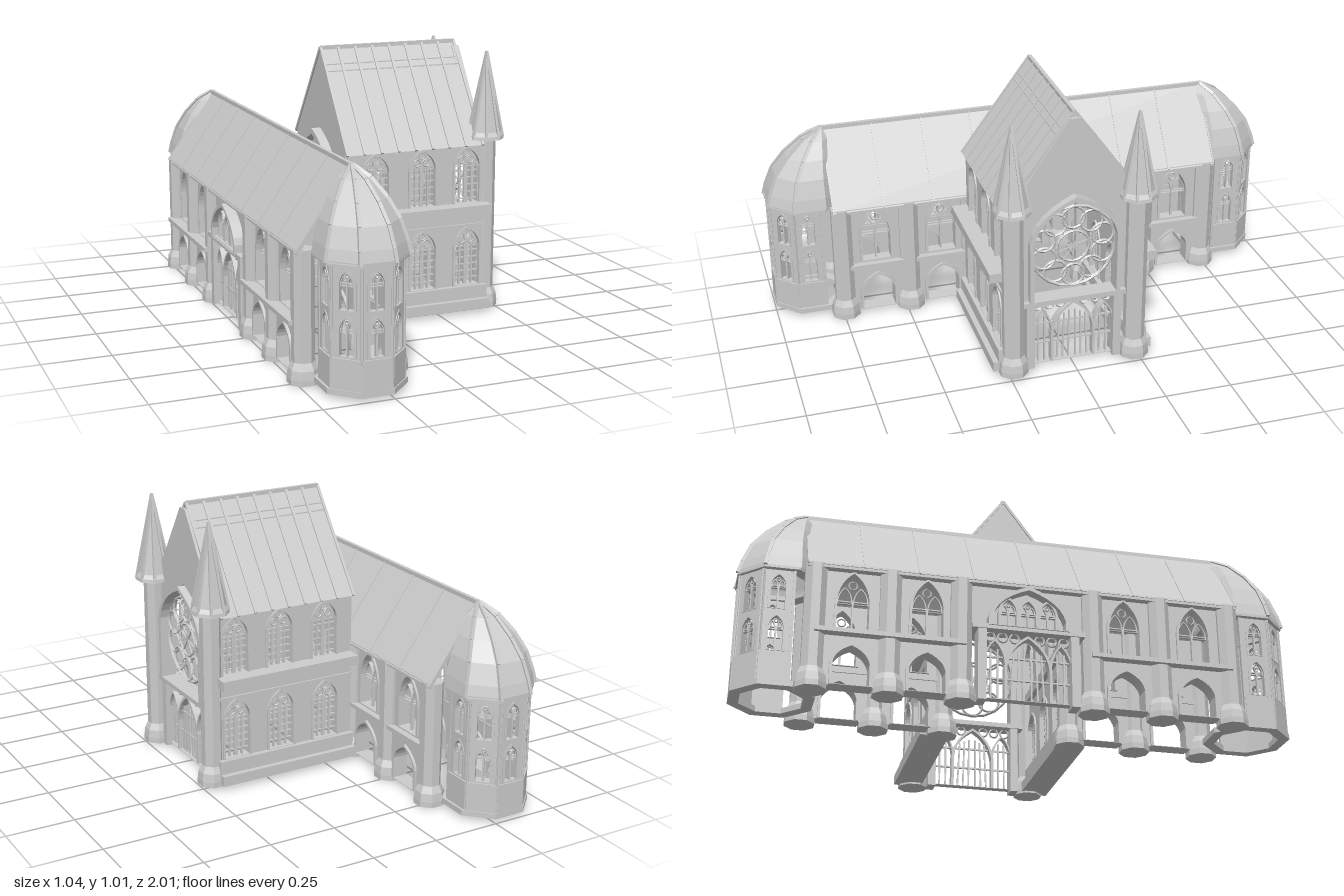
import * as THREE from 'three';

const stone = new THREE.MeshStandardMaterial({ color: 0xcccccc, flatShading: true, side: THREE.DoubleSide });
const V = (x, y, z) => new THREE.Vector3(x, y, z);

function add(parent, name, geo, x = 0, y = 0, z = 0) {
  const m = new THREE.Mesh(geo, stone);
  m.name = name;
  m.position.set(x, y, z);
  parent.add(m);
  return m;
}
function group(parent, name, x = 0, y = 0, z = 0, ry = 0) {
  const g = new THREE.Group();
  g.name = name;
  g.position.set(x, y, z);
  g.rotation.y = ry;
  parent.add(g);
  return g;
}
// box given by its limits
function box(parent, name, x0, x1, y0, y1, z0, z1) {
  return add(parent, name, new THREE.BoxGeometry(x1 - x0, y1 - y0, z1 - z0), (x0 + x1) / 2, (y0 + y1) / 2, (z0 + z1) / 2);
}
// square bar between two points
function bar(parent, name, a, b, t) {
  const d = b.clone().sub(a);
  const m = add(parent, name, new THREE.BoxGeometry(t, d.length(), t));
  m.position.copy(a).add(b).multiplyScalar(0.5);
  m.quaternion.setFromUnitVectors(V(0, 1, 0), d.normalize());
}
// pointed arch outline, from left foot over the apex to right foot
function arch(cx, y0, w, ys, yt) {
  const h = w / 2, k = ys + (yt - ys) * 0.65, pts = [[cx - h, y0]];
  for (let i = 0; i <= 12; i++) {
    const s = i <= 6 ? -1 : 1, t = i <= 6 ? i / 6 : (12 - i) / 6;
    const u = 1 - t;
    pts.push([cx + s * h * (u * u + 2 * u * t * 0.88), u * u * ys + 2 * u * t * k + t * t * yt]);
  }
  pts.push([cx + h, y0]);
  return pts;
}
const vec = pts => pts.map(p => new THREE.Vector2(p[0], p[1]));
// upright slab with holes, centred on its own z
function slab(parent, name, outline, holes, depth, z = 0) {
  const s = new THREE.Shape(vec(outline));
  holes.forEach(h => s.holes.push(new THREE.Path(vec(h))));
  const g = new THREE.ExtrudeGeometry(s, { depth, bevelEnabled: false });
  g.translate(0, 0, -depth / 2);
  add(parent, name, g, 0, 0, z);
}
const rect = (x0, x1, y0, y1) => [[x0, y0], [x1, y0], [x1, y1], [x0, y1]];
function archFrame(parent, cx, y0, w, ys, yt, t, depth, z = 0) {
  slab(parent, 'archFrame', arch(cx, y0, w + 2 * t, ys, yt + t), [arch(cx, y0 + 0.002, w, ys, yt)], depth, z);
}
function ring(parent, x, y, r, t, z = 0) {
  add(parent, 'traceryRing', new THREE.TorusGeometry(r, t, 4, 20), x, y, z);
}
// traceried window: frame, mullions, transoms, pointed lights, head circle
function windowAt(parent, cx, y0, w, ys, yt, lights, rows, z) {
  const g = group(parent, 'window', cx, 0, z);
  archFrame(g, 0, y0, w, ys, yt, 0.009, w * 0.42);
  const lw = w / lights;
  for (let i = 1; i < lights; i++) {
    const t = lights > 2 && i === lights / 2 ? 0.007 : 0.003;
    box(g, 'mullion', -w / 2 + i * lw - t, -w / 2 + i * lw + t, y0, ys, -0.006, 0.006);
  }
  for (let i = 1; i <= rows; i++) {
    const y = y0 + (ys - y0) * i / rows;
    box(g, 'transom', -w / 2, w / 2, y - 0.002, y + 0.002, -0.004, 0.004);
  }
  for (const s of [-1, 1]) archFrame(g, s * w / 4, ys - 0.01, w / 2 - 0.01, ys, ys + (yt - ys) * 0.5, 0.004, 0.01);
  if (lights === 2) ring(g, 0, ys + (yt - ys) * 0.62, w * 0.13, 0.003);
  return g;
}
// wide window with a closed head carrying a trefoil
function wingWindow(parent, x, y0, z) {
  const ys = y0 + 0.16, yt = y0 + 0.223;
  const g = windowAt(parent, x, y0, 0.1, ys, yt, 4, 6, z);
  slab(g, 'windowHead', arch(0, ys, 0.1, ys + 0.001, yt), [], 0.008);
  for (const [cx, cy] of [[-0.018, 0.017], [0.018, 0.017], [0, 0.043]]) ring(g, cx, ys + cy, 0.013, 0.006);
}
// eight-sided pier with flared foot
function pier(parent, name, x, z, y0, y1) {
  const p = [[0, y0], [0.056, y0], [0.056, y0 + 0.02], [0.052, y0 + 0.05], [0.04, y0 + 0.075], [0.04, y1], [0, y1]];
  add(parent, name, new THREE.LatheGeometry(vec(p), 8), x, 0, z).rotation.y = Math.PI / 8;
}
// gabled roof shell running along z, with ribs on the slopes
function roof(parent, name, half, y0, y1, z0, z1, ribs, t, ribSize) {
  const shape = new THREE.Shape(vec([[-half, y0], [-half + t, y0], [0, y1 - t * 1.4], [half - t, y0], [half, y0], [0, y1]]));
  const g = new THREE.ExtrudeGeometry(shape, { depth: z1 - z0, bevelEnabled: false });
  add(parent, name, g, 0, 0, z0);
  for (let i = 0; i <= ribs; i++) {
    const z = z0 + (z1 - z0) * i / ribs;
    for (const s of [-1, 1]) bar(parent, 'roofRib', V(s * half, y0, z), V(0, y1, z), ribSize);
  }
  box(parent, 'ridge', -0.007, 0.007, y1 - 0.01, y1 + 0.005, z0, z1);
}
// open portal screen of lancets and a traceried gallery
function portal(parent, z) {
  const g = group(parent, 'portal', 0, 0, z);
  archFrame(g, 0, 0.02, 0.15, 0.14, 0.255, 0.01, 0.03);
  for (const s of [-1, 1]) {
    archFrame(g, s * 0.118, 0.02, 0.07, 0.15, 0.235, 0.007, 0.03);
    box(g, 'portalPost', s * 0.165 - 0.015, s * 0.165 + 0.015, 0.01, 0.28, -0.03, 0.03);
    for (const x of [0.014, 0.036, 0.058]) bar(g, 'portalBar', V(s * x, 0.02, 0), V(s * x * 0.85, 0.225 - x * 0.4, 0), 0.006);
    for (const x of [0.106, 0.13]) box(g, 'portalBar', s * x - 0.003, s * x + 0.003, 0.02, 0.21, -0.004, 0.004);
    for (let i = 0; i < 3; i++) ring(g, s * (0.045 + i * 0.043), 0.255, 0.016, 0.004);
  }
  for (const y of [0.1, 0.18]) box(g, 'portalRail', -0.15, 0.15, y - 0.003, y + 0.003, -0.004, 0.004);
  box(g, 'portalBeam', -0.2, 0.2, 0.272, 0.29, -0.035, 0.035);
}

// ---- long hall ----
function buildHall(parent) {
  const hall = group(parent, 'hall', -0.31);
  roof(hall, 'hallRoof', 0.195, 0.455, 0.732, -0.77, 0.77, 8, 0.015, 0.005);
  for (const sx of [-1, 1]) {
    const side = group(hall, 'hallSide', 0, 0, 0, sx * Math.PI / 2);
    for (const c of [-0.61, -0.3525, 0.3525, 0.61]) {
      const bay = group(side, 'hallBay', c);
      slab(bay, 'upperWall', rect(-0.13, 0.13, 0.2, 0.46), [arch(0, 0.225, 0.11, 0.34, 0.44)], 0.03, 0.15);
      slab(bay, 'arcadeWall', [[-0.1, 0.02], ...arch(0, 0.02, 0.125, 0.1, 0.165), [0.1, 0.02], [0.13, 0.2], [-0.13, 0.2]], [], 0.04, 0.155);
      windowAt(bay, 0, 0.225, 0.11, 0.34, 0.44, 2, 1, 0.15);
      archFrame(bay, 0, 0.02, 0.125, 0.1, 0.165, 0.01, 0.06, 0.155);
      box(bay, 'ledge', -0.13, 0.13, 0.2, 0.216, 0.13, sx < 0 ? 0.21 : 0.19);
    }
    for (const z of [-0.74, -0.482, -0.235, 0.235, 0.482, 0.74]) pier(side, 'pier', z, 0.16, 0, 0.46);
    box(side, 'eaves', -0.77, 0.77, 0.445, 0.462, 0.165, 0.192);
  }
  // centre bay on the far side
  const west = group(hall, 'farPortal', 0, 0, 0, -Math.PI / 2);
  portal(west, 0.165);
  slab(west, 'portalWall', rect(-0.2, 0.2, 0.28, 0.46), [], 0.03, 0.15);
  archFrame(west, 0, 0.285, 0.26, 0.32, 0.43, 0.014, 0.07, 0.17);
  for (const x of [-0.07, 0, 0.07]) windowAt(west, x, 0.29, 0.055, 0.35, 0.395, 2, 1, 0.175);
}

// ---- eight-sided end chapels ----
function buildChapel(parent, ry) {
  const end = group(parent, 'endChapel', -0.31, 0, 0, ry);
  const zc = 0.862, ap = 0.128, hw = ap * Math.tan(Math.PI / 8), c = Math.cos(Math.PI / 8);
  for (let i = -2; i <= 2; i++) {
    const face = group(end, 'chapelWall', 0, 0, zc, i * Math.PI / 4);
    const tiers = [[0.145, 0.235, 0.275], [0.3, 0.39, 0.43]];
    slab(face, 'wallPanel', rect(-hw, hw, 0.02, 0.46), tiers.map(t => arch(0, t[0], 0.05, t[1], t[2])), 0.01, ap - 0.005);
    tiers.forEach(t => windowAt(face, 0, t[0], 0.05, t[1], t[2], 2, 1, ap - 0.008));
    box(face, 'plinthPanel', -hw, hw, 0.02, 0.14, ap - 0.01, ap + 0.006);
    for (const s of [-1, 1]) box(face, 'cornerStrip', s * hw - 0.005, s * hw + 0.005, 0.02, 0.46, ap - 0.01, ap + 0.004);
  }
  // foot ring and eaves ring
  for (const [y0, y1, r] of [[0.015, 0.035, 0.143], [0.447, 0.463, 0.146]]) {
    const p = [[0.106, y0], [r, y0], [r, y1], [0.106, y1], [0.106, y0]].map(q => [q[0] / c, q[1]]);
    add(end, 'ringCourse', new THREE.LatheGeometry(vec(p), 8), 0, 0, zc - 0.008).rotation.y = Math.PI / 8;
  }
  // curved cap leaning back to the ridge: [half width, height, centre]
  const levels = [[0.149, 0.455, 0.851], [0.141, 0.5, 0.847], [0.121, 0.57, 0.839], [0.09, 0.635, 0.82], [0.049, 0.695, 0.795], [0.004, 0.732, 0.77]];
  const pt = (l, k) => {
    const a = (k + 0.5) * Math.PI / 4, r = l[0] / c;
    return V(Math.sin(a) * r, l[1], l[2] + Math.cos(a) * r);
  };
  const pos = [];
  for (let j = 0; j < levels.length - 1; j++) for (let k = 0; k < 8; k++) {
    const A = pt(levels[j], k), B = pt(levels[j], k + 1), C = pt(levels[j + 1], k + 1), D = pt(levels[j + 1], k);
    for (const p of [A, B, C, A, C, D]) pos.push(p.x, p.y, p.z);
    if (k < 2 || k > 5) bar(end, 'capRib', A, D, 0.012);
  }
  const g = new THREE.BufferGeometry();
  g.setAttribute('position', new THREE.Float32BufferAttribute(pos, 3));
  g.computeVertexNormals();
  add(end, 'chapelCap', g);
}

// ---- tall cross wing ----
function buildWing(parent) {
  const wing = group(parent, 'wing');
  const xs = [-0.003, 0.185, 0.367];
  for (const s of [-1, 1]) {
    for (const [name, y0, y1, sill, z] of [['lowerWall', 0.09, 0.4, 0.105, 0.25], ['upperWall', 0.4, 0.655, 0.412, 0.24]]) {
      slab(wing, name, rect(-0.115, 0.43, y0, y1), xs.map(x => arch(x, sill, 0.1, sill + 0.16, sill + 0.223)), 0.03, s * z);
      xs.forEach(x => wingWindow(wing, x, sill, s * z));
    }
    const band = (n, y0, y1, a, b) => box(wing, n, -0.115, 0.445, y0, y1, Math.min(s * a, s * b), Math.max(s * a, s * b));
    band('foot', 0.017, 0.055, 0.2, 0.305);
    band('plinth', 0.055, 0.105, 0.215, 0.285);
    band('ledge', 0.388, 0.424, 0.215, 0.315);
    band('stringCourse', 0.335, 0.345, 0.24, 0.272);
    // corner turret with ribbed spire
    const t = group(wing, 'turret', 0.452, 0, s * 0.232);
    pier(t, 'turretShaft', 0, 0, 0.01, 0.665);
    const spire = [[0, 0.662], [0.07, 0.662], [0.068, 0.675], [0.058, 0.69], [0, 0.995]];
    add(t, 'spire', new THREE.LatheGeometry(vec(spire), 8)).rotation.y = Math.PI / 8;
    for (let k = 0; k < 8; k++) {
      const a = (k + 0.5) * Math.PI / 4;
      bar(t, 'spireRib', V(Math.sin(a) * 0.066, 0.668, Math.cos(a) * 0.066), V(0, 0.99, 0), 0.009);
    }
    // small shafts beside the projecting arch
    add(wing, 'smallShaft', new THREE.CylinderGeometry(0.022, 0.025, 0.15, 8), -0.162, 0.5, s * 0.07);
  }
  // steep roof with standing seams and a band below the ridge
  const top = group(wing, 'wingRoof', 0, 0, 0, Math.PI / 2);
  roof(top, 'roofShell', 0.268, 0.643, 1.005, -0.12, 0.425, 8, 0.02, 0.01);
  for (const s of [-1, 1]) for (const y of [0.922, 0.945]) {
    const x = s * 0.268 * (1.005 - y) / 0.362;
    bar(top, 'roofBand', V(x, y, -0.12), V(x, y, 0.425), 0.004);
  }
  // entrance front
  const front = group(wing, 'entranceFront', 0.425, 0, 0, Math.PI / 2);
  slab(front, 'gableWall', [[-0.2, 0.28], [0.2, 0.28], [0.2, 0.73], [0.165, 0.77], [0.02, 0.985], [-0.02, 0.985], [-0.165, 0.77], [-0.2, 0.73]],
    [arch(0, 0.295, 0.33, 0.53, 0.7)], 0.03);
  archFrame(front, 0, 0.293, 0.31, 0.53, 0.68, 0.016, 0.06, 0.012);
  portal(front, 0);
  const rose = group(front, 'roseWindow', 0, 0.485, 0.005);
  ring(rose, 0, 0, 0.16, 0.006);
  ring(rose, 0, 0, 0.06, 0.005);
  for (let k = 0; k < 10; k++) {
    const a = k * Math.PI / 5;
    ring(rose, Math.sin(a) * 0.115, Math.cos(a) * 0.115, 0.042, 0.005);
    bar(rose, 'spoke', V(0, 0, 0), V(Math.sin(a) * 0.073, Math.cos(a) * 0.073, 0), 0.005);
  }
  // gable towards the hall, with a projecting arch
  const back = group(wing, 'backGable', -0.115, 0, 0, -Math.PI / 2);
  slab(back, 'backGableWall', [[-0.25, 0.45], [0.25, 0.45], [0.25, 0.655], [0, 0.985], [-0.25, 0.655]], [], 0.015);
  archFrame(back, 0, 0.45, 0.3, 0.54, 0.68, 0.022, 0.055, 0.015);
  archFrame(back, 0, 0.45, 0.22, 0.54, 0.645, 0.012, 0.03, 0.01);
}

export function createModel() {
  const model = new THREE.Group();
  model.name = 'cathedral';
  buildHall(model);
  buildChapel(model, 0);
  buildChapel(model, Math.PI);
  buildWing(model);
  return model;
}
